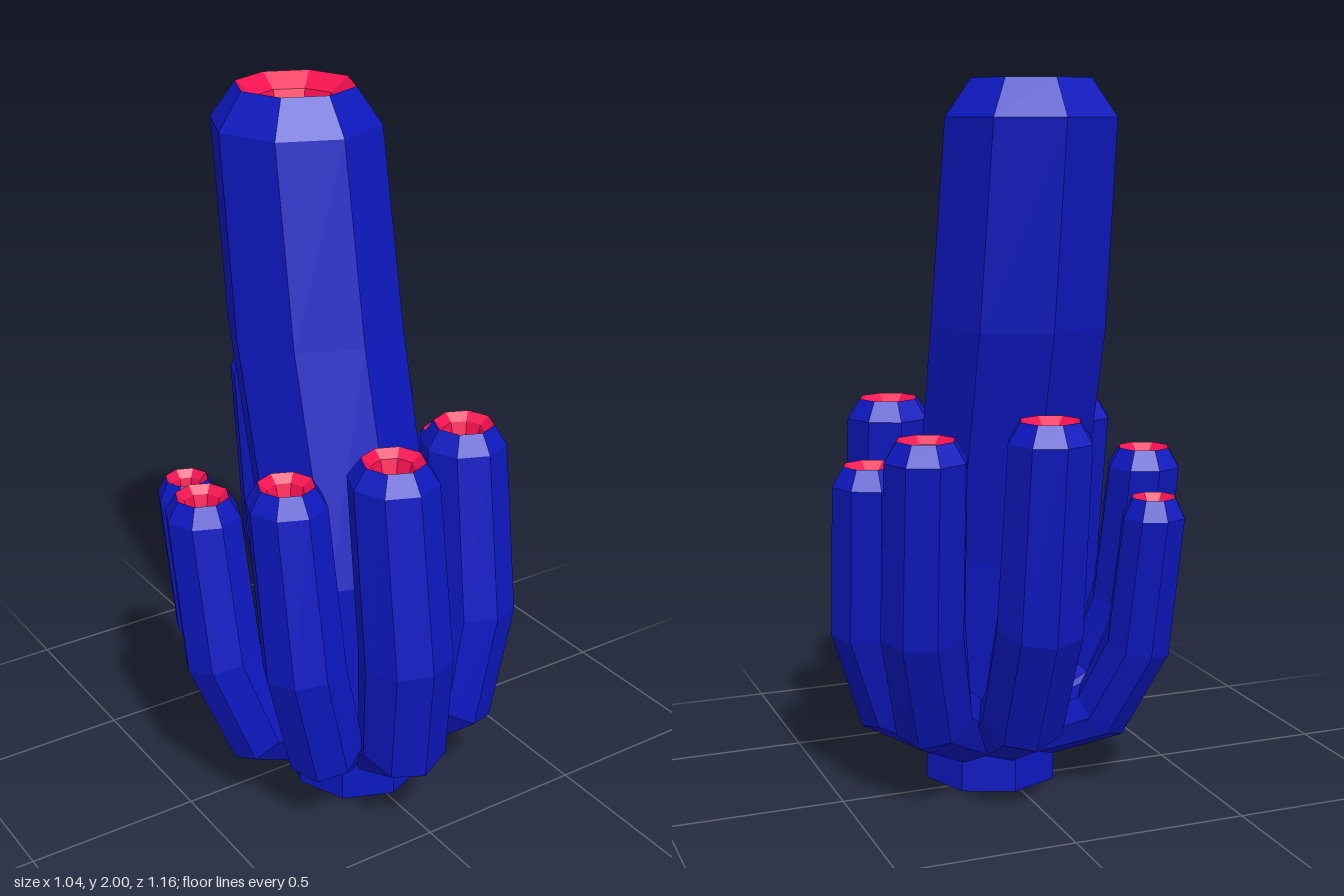
import * as THREE from 'three';

const SIDES = 8;
const UP = new THREE.Vector3(0, 1, 0);
const blue = new THREE.MeshStandardMaterial({ color: 0x0d18c0, flatShading: true });
const red = new THREE.MeshStandardMaterial({ color: 0xf51050, flatShading: true });
const V = (x, y, z) => new THREE.Vector3(x, y, z);

// Octagonal loop around c, facing along dir
function ring(c, r, dir = UP) {
  const q = new THREE.Quaternion().setFromUnitVectors(UP, dir.clone().normalize());
  const pts = [];
  for (let i = 0; i < SIDES; i++) {
    const a = (i / SIDES) * Math.PI * 2;
    pts.push(V(Math.cos(a) * r, 0, -Math.sin(a) * r).applyQuaternion(q).add(c));
  }
  return pts;
}

// Skin a list of loops; optionally close the first and last
function loft(rings, material, name, capStart, capEnd) {
  const pos = [];
  const tri = (...ps) => ps.forEach((p) => pos.push(p.x, p.y, p.z));
  for (let k = 0; k + 1 < rings.length; k++) {
    for (let i = 0; i < SIDES; i++) {
      const j = (i + 1) % SIDES;
      const [a, b, c, d] = [rings[k][i], rings[k][j], rings[k + 1][j], rings[k + 1][i]];
      tri(a, b, c);
      tri(a, c, d);
    }
  }
  const cap = (r, flip) => {
    for (let i = 1; i + 1 < SIDES; i++) {
      if (flip) tri(r[0], r[i + 1], r[i]);
      else tri(r[0], r[i], r[i + 1]);
    }
  };
  if (capStart) cap(rings[0], true);
  if (capEnd) cap(rings[rings.length - 1], false);
  const geo = new THREE.BufferGeometry();
  geo.setAttribute('position', new THREE.Float32BufferAttribute(pos, 3));
  geo.computeVertexNormals();
  const mesh = new THREE.Mesh(geo, material);
  mesh.name = name;
  return mesh;
}

// Tube wall with a bevelled tip and a shallow red mouth
function tube(name, lower, tip, r, bevel) {
  const g = new THREE.Group();
  g.name = name;
  const at = (dy, k) => ring(V(tip.x, tip.y - dy, tip.z), r * k);
  const rim = at(0, 0.7);
  g.add(loft([...lower, at(bevel, 1), rim], blue, 'wall', true, false));
  g.add(loft([rim, at(bevel * 0.4, 0.48), at(bevel * 1.2, 0.38)], red, 'mouth', false, true));
  return g;
}

export function createModel() {
  const model = new THREE.Group();
  model.name = 'tubeCluster';
  const base = V(0.02, 0, 0.09);

  // Tall central tube, leaning back
  const trunk = [
    ring(base, 0.2),
    ring(V(0.02, 0.13, 0.09), 0.2),
    ring(V(0.02, 0.7, 0.04), 0.25),
    ring(V(0.02, 1.35, -0.13), 0.252),
  ];
  model.add(tube('centralTube', trunk, V(0.02, 2, -0.22), 0.24, 0.1));

  // Surrounding tubes: tip x, height, tip z, radius
  const tubes = [
    [0.065, 1.14, -0.465, 0.117],
    [0.345, 1.08, -0.3, 0.115],
    [0.41, 0.965, -0.01, 0.108],
    [0.28, 1.11, 0.23, 0.122],
    [-0.06, 1.14, 0.375, 0.125],
    [-0.3, 1.075, 0.23, 0.112],
    [-0.41, 0.965, -0.03, 0.108],
    [-0.31, 0.88, -0.305, 0.09],
  ];
  tubes.forEach(([x, h, z, r], i) => {
    const tip = V(x, h, z);
    const belly = V(x * 0.97, h * 0.51, z + 0.068);
    const out = V(belly.x - base.x, 0, belly.z - base.z);
    const elbow = base.clone().addScaledVector(out, 0.8).add(V(0, h * 0.255, 0.04));
    const root = base.clone().addScaledVector(out.clone().normalize(), 0.13);
    root.y = h * 0.145;
    const d0 = elbow.clone().sub(root).normalize();
    const d1 = belly.clone().sub(elbow).normalize();
    const d2 = tip.clone().sub(belly).normalize();
    const lower = [
      ring(root, r * 0.8, d0),
      ring(elbow, r * 1.03, d0.clone().add(d1)),
      ring(belly, r * 1.05, d1.clone().add(d2)),
    ];
    model.add(tube('sideTube' + (i + 1), lower, tip, r, 0.055));
  });
  return model;
}
